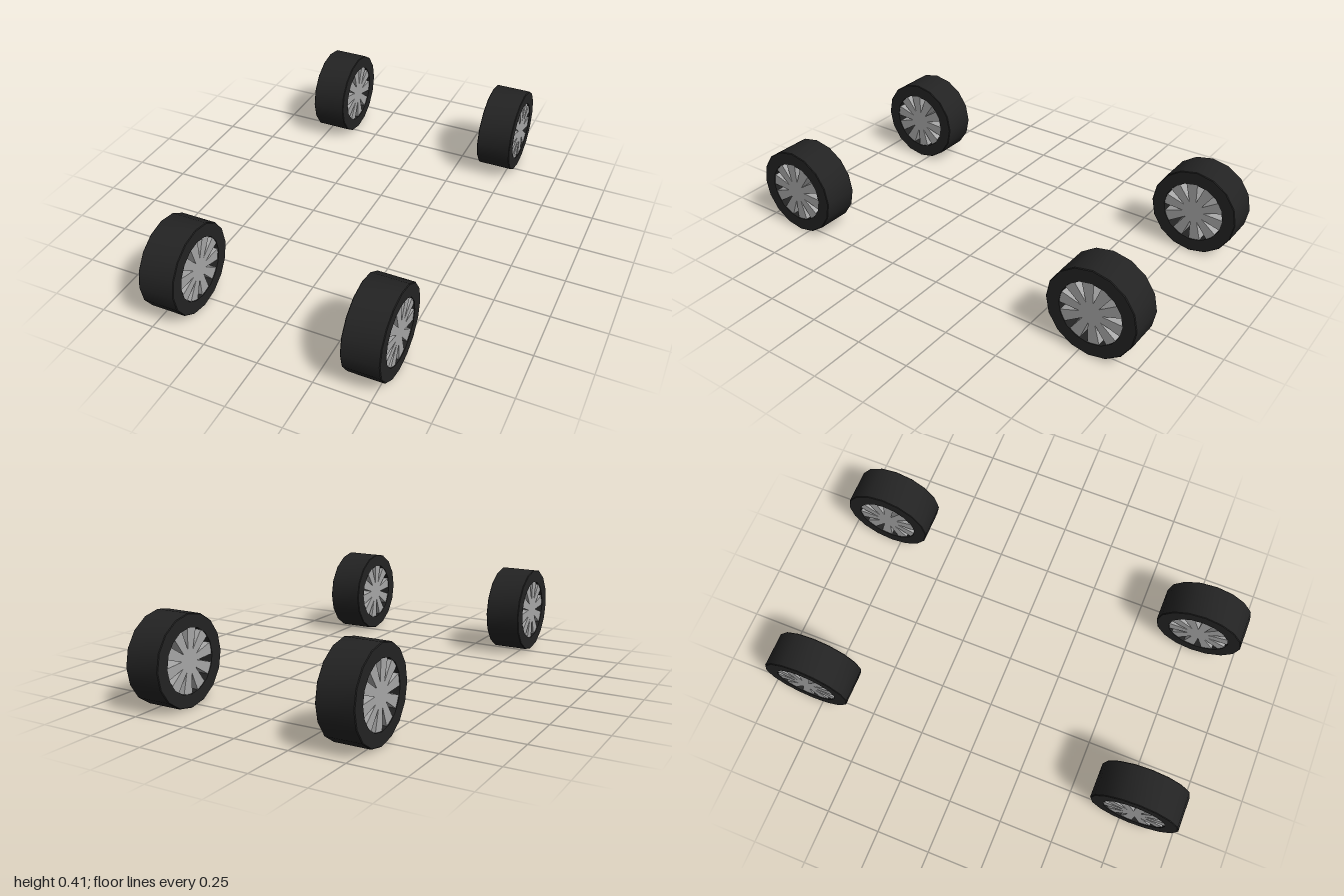
import * as THREE from 'three';
import { toCreasedNormals } from 'three/addons/utils/BufferGeometryUtils.js';

const TYRE_R = 0.204, BORE_R = 0.143, RIM_R = 0.141, WIDTH = 0.166;

// Sixteen-sided tyre ring around the x axis, with slightly eased shoulders
function tyreGeometry() {
  const h = WIDTH / 2, e = 0.003;
  const profile = [
    [BORE_R, -h], [TYRE_R - e, -h], [TYRE_R, -h + e],
    [TYRE_R, h - e], [TYRE_R - e, h], [BORE_R, h], [BORE_R, -h],
  ].map(([r, y]) => new THREE.Vector2(r, y));
  const g = new THREE.LatheGeometry(profile, 16);
  g.rotateZ(-Math.PI / 2);
  return toCreasedNormals(g, Math.PI / 6);
}

// Ten wedge spokes joined at the hub, parted by narrow tapering slots
function rimGeometry() {
  const spokes = 10, step = (Math.PI * 2) / spokes;
  const slotHalf = 0.125, slotStart = 0.05, first = 1.4;
  const shape = new THREE.Shape();
  for (let i = 0; i < spokes; i++) {
    const a = first + i * step;
    const put = (r, t) => shape[i === 0 && r === slotStart ? 'moveTo' : 'lineTo'](r * Math.cos(t), r * Math.sin(t));
    put(slotStart, a);
    for (let k = 0; k <= 3; k++) put(RIM_R, a + slotHalf + (k / 3) * (step - 2 * slotHalf));
  }
  shape.closePath();
  const depth = WIDTH - 0.006;
  const g = new THREE.ExtrudeGeometry(shape, { depth, bevelEnabled: false });
  g.translate(0, 0, -depth / 2);
  g.rotateY(Math.PI / 2);
  return g;
}

export function createModel() {
  const model = new THREE.Group();
  model.name = 'wheelSet';
  const rubber = new THREE.MeshStandardMaterial({ color: 0x232323 });
  rubber.name = 'black rubber';
  const metal = new THREE.MeshStandardMaterial({ color: 0xa8a8a8 });
  metal.name = 'grey metal';
  const tyreGeo = tyreGeometry(), rimGeo = rimGeometry();

  // Four matching wheels
  for (const [end, z] of [['front', 0.796], ['rear', -0.796]]) {
    for (const [side, x] of [['Left', 0.453], ['Right', -0.453]]) {
      const wheel = new THREE.Group();
      wheel.name = `${end}${side}Wheel`;
      const tyre = new THREE.Mesh(tyreGeo, rubber);
      tyre.name = 'tyre';
      const rim = new THREE.Mesh(rimGeo, metal);
      rim.name = 'spokedRim';
      wheel.add(tyre, rim);
      wheel.position.set(x, TYRE_R, z);
      model.add(wheel);
    }
  }
  return model;
}
